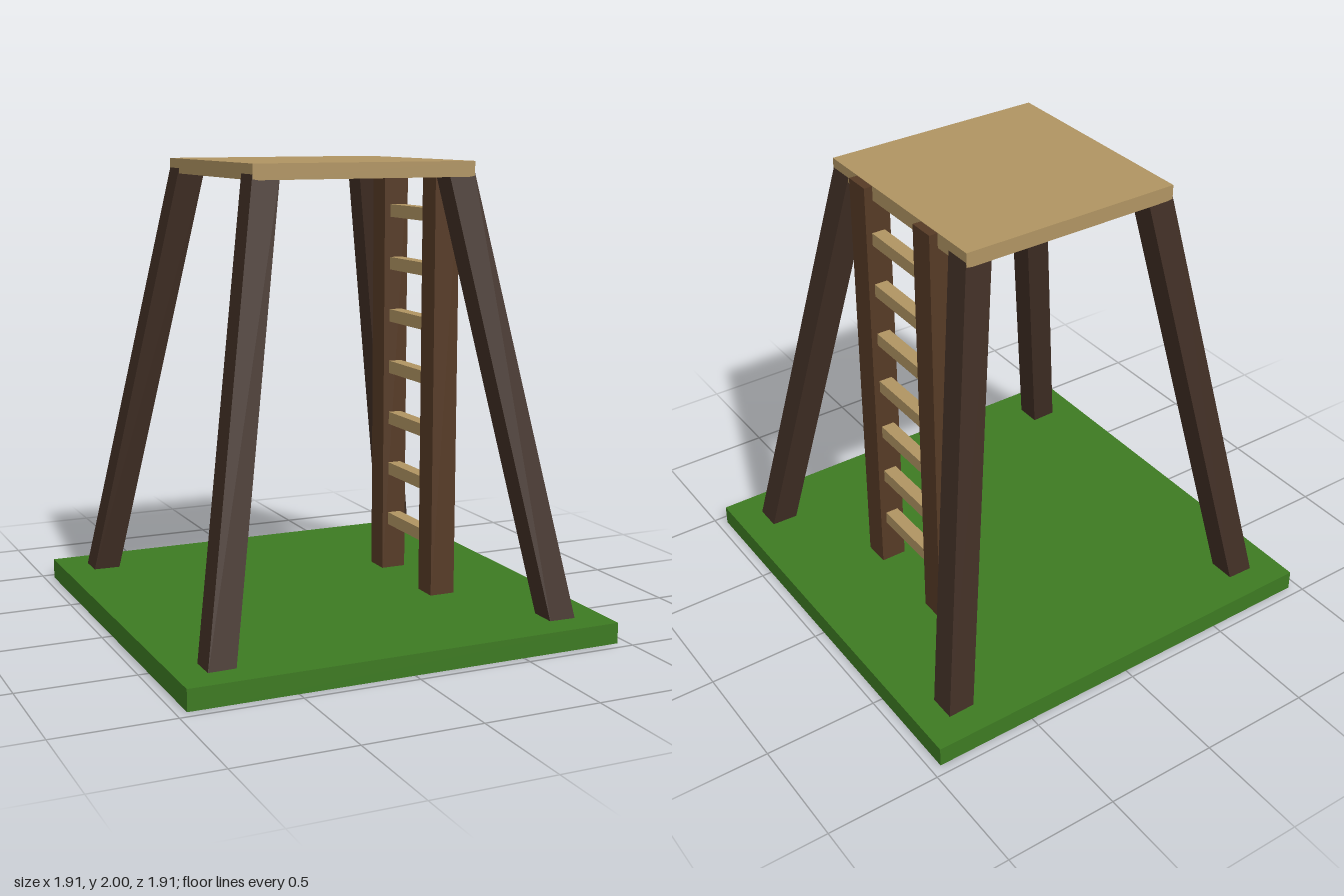
import * as THREE from 'three';

const mat = (color) => new THREE.MeshStandardMaterial({ color, flatShading: true });

export function createModel() {
  const model = new THREE.Group();
  model.name = 'lookoutTower';
  const grass = mat(0x3d7a22), plank = mat(0xb09462), post = mat(0x402e24), rail = mat(0x563a25);

  const box = (name, size, pos, material) => {
    const mesh = new THREE.Mesh(new THREE.BoxGeometry(...size), material);
    mesh.name = name;
    mesh.position.set(...pos);
    model.add(mesh);
    return mesh;
  };

  // Ground slab and platform
  box('groundSlab', [1.91, 0.09, 1.91], [0, 0.045, 0], grass);
  box('platform', [0.99, 0.065, 0.99], [0, 1.9675, 0], plank);

  // Four legs leaning inward by ten degrees on both axes, ends sunk in slab and platform
  const tilt = THREE.MathUtils.degToRad(10);
  const slopeX = Math.tan(tilt), slopeZ = Math.tan(tilt) / Math.cos(tilt);
  const low = 0.045, high = 1.967, mid = (low + high) / 2;
  const length = (high - low) / Math.cos(tilt) ** 2;
  for (const sx of [-1, 1]) {
    for (const sz of [-1, 1]) {
      const x = 0.765 - slopeX * (mid - 0.09), z = 0.765 - slopeZ * (mid - 0.09);
      const leg = box(`${sz > 0 ? 'front' : 'back'}${sx > 0 ? 'Left' : 'Right'}Leg`,
        [0.117, length, 0.117], [sx * x, mid, sz * z], post);
      leg.rotation.set(-sz * tilt, 0, sx * tilt, 'ZYX');
    }
  }

  // Ladder: two rails, tops just below the platform surface, and seven rungs
  for (const s of [-1, 1]) {
    box(s > 0 ? 'frontLadderRail' : 'backLadderRail', [0.115, 1.938, 0.117], [0.475, 1.029, s * 0.24], rail);
  }
  for (let i = 0; i < 7; i++) {
    box(`ladderRung${i + 1}`, [0.06, 0.057, 0.4], [0.475, 0.328 + i * 0.239, 0], plank);
  }
  return model;
}
